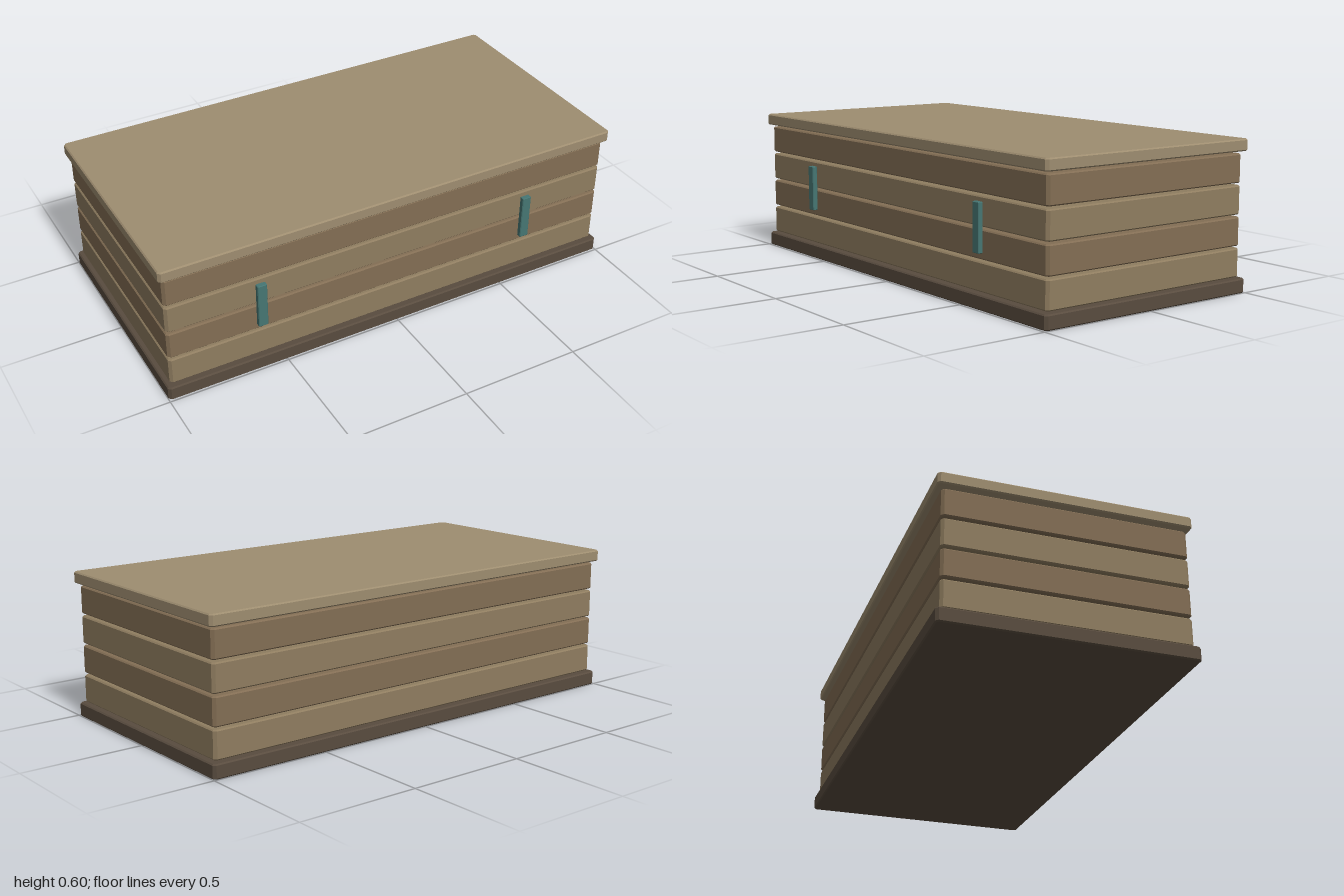
import * as THREE from 'three';

const mat = (color) => new THREE.MeshStandardMaterial({ color, flatShading: true });

// Box with chamfered upright corners (c) and narrower chamfers along top and bottom (b)
function chamferedBox(name, w, h, d, c, b, material) {
  const x = w / 2 - b, z = d / 2 - b;
  const outline = new THREE.Shape([
    [x - c, -z], [x, -z + c], [x, z - c], [x - c, z],
    [-x + c, z], [-x, z - c], [-x, -z + c], [-x + c, -z],
  ].map(([px, pz]) => new THREE.Vector2(px, pz)));
  const geometry = new THREE.ExtrudeGeometry(outline, {
    depth: h - 2 * b, bevelEnabled: true, bevelSize: b, bevelThickness: b, bevelSegments: 1,
  });
  geometry.rotateX(-Math.PI / 2);
  geometry.translate(0, b, 0); // stands on its own y = 0
  const mesh = new THREE.Mesh(geometry, material);
  mesh.name = name;
  return mesh;
}

export function createModel() {
  const model = new THREE.Group();
  model.name = 'plankCrate';
  const lidWood = mat(0x9e8d70);
  const lightWood = mat(0x8f7d60);
  const darkWood = mat(0x836e54);
  const baseWood = mat(0x594c3f);
  const metal = mat(0x467673);
  const centreZ = -0.003;

  const add = (mesh, x, y, z) => {
    mesh.position.set(x, y, z);
    model.add(mesh);
  };

  // Base and lid overhang the body slightly
  add(chamferedBox('base', 2, 0.058, 0.995, 0.008, 0.005, baseWood), 0, 0, centreZ);
  add(chamferedBox('lid', 2, 0.047, 0.995, 0.008, 0.005, lidWood), 0, 0.553, centreZ);

  // Four stacked layers in alternating wood, with thin gaps between
  for (let i = 0; i < 4; i++) {
    const layer = chamferedBox(`layer${i + 1}`, 1.966, 0.113, 0.957, 0.008, 0.005, i % 2 ? darkWood : lightWood);
    add(layer, 0, 0.063 + i * 0.1223, centreZ);
  }

  // Upright clasps on the front
  for (const side of [-1, 1]) {
    const clasp = chamferedBox(side > 0 ? 'leftClasp' : 'rightClasp', 0.04, 0.19, 0.022, 0.002, 0.002, metal);
    add(clasp, side * 0.6, 0.212, 0.49);
  }
  return model;
}
